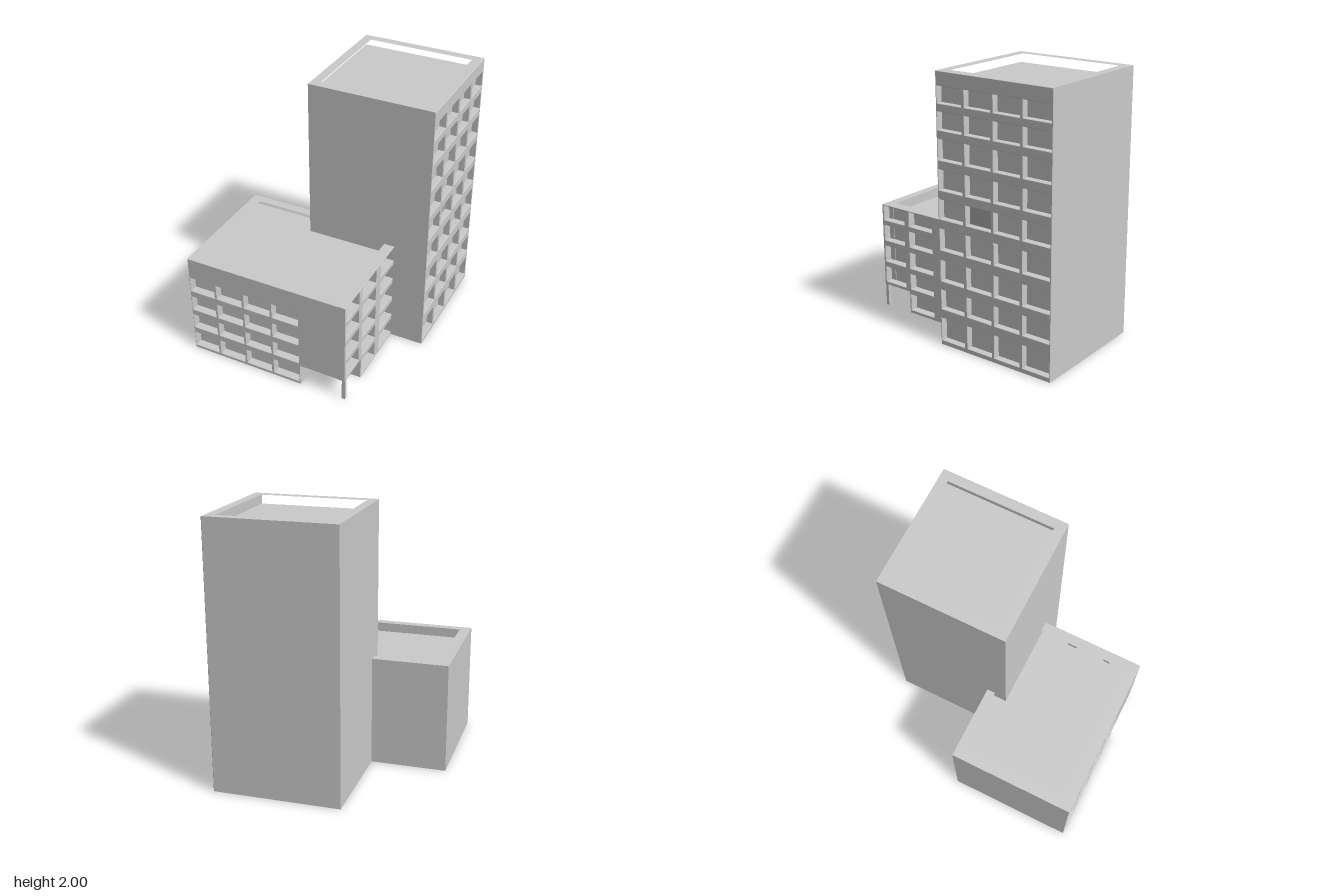
import * as THREE from 'three';

const material = new THREE.MeshStandardMaterial({ color: 0xcccccc });
const darkMaterial = new THREE.MeshStandardMaterial({ color: 0xb0b0b0 });
const BEVEL = 0.003;

const points = (list) => list.map(([x, y]) => new THREE.Vector2(x, y));
const rect = (x0, y0, x1, y1) => [[x0, y0], [x1, y0], [x1, y1], [x0, y1]];

function add(parent, name, geometry, mat = material) {
  const mesh = new THREE.Mesh(geometry, mat);
  mesh.name = name;
  parent.add(mesh);
  return mesh;
}

function shapeOf(outline, holes = []) {
  const shape = new THREE.Shape(points(outline));
  holes.forEach((h) => shape.holes.push(new THREE.Path(points(h))));
  return shape;
}

// Upright prism from a plan given in (x, z)
function prism(plan, y0, y1, holes = []) {
  const flip = (list) => list.map(([x, z]) => [x, -z]);
  const geometry = new THREE.ExtrudeGeometry(shapeOf(flip(plan), holes.map(flip)), {
    depth: y1 - y0, bevelEnabled: false,
  });
  return geometry.rotateX(-Math.PI / 2).translate(0, y0, 0);
}

// Wall panel facing +z with softened window openings; its back lies on z = 0
function panel(outline, windows, depth) {
  return new THREE.ExtrudeGeometry(shapeOf(outline, windows), {
    depth: depth - BEVEL, bevelThickness: BEVEL, bevelSize: BEVEL,
    bevelOffset: -BEVEL, bevelSegments: 1,
  });
}

// Window openings at every crossing of columns and rows
function windowGrid(columns, rows) {
  return rows.flatMap(([y0, y1]) => columns.map(([x0, x1]) => rect(x0, y0, x1, y1)));
}

function createTower() {
  const tower = new THREE.Group();
  tower.name = 'tower';
  const depth = 0.05, face = 0.765 - depth;
  const plan = rect(-0.19, -0.88, face, 0.075);

  // Body and roof parapet
  add(tower, 'towerBody', prism(plan, 0, 1.92));
  add(tower, 'towerParapet', prism(plan, 1.92, 2, [rect(-0.12, -0.81, 0.69, 0)]));

  // Window wall on the left side (u = -z)
  const columns = [[-0.065, 0.145], [0.17, 0.385], [0.41, 0.625], [0.65, 0.87]];
  const rows = [
    [0.035, 0.21], [0.28, 0.43], [0.495, 0.655], [0.73, 0.89], [0.96, 1.105],
    [1.17, 1.32], [1.385, 1.535], [1.595, 1.725], [1.78, 1.9],
  ];
  const wall = panel(rect(-0.075, 0, 0.88, 2), windowGrid(columns, rows), depth);
  add(tower, 'towerWindowWall', wall.rotateY(Math.PI / 2).translate(face, 0, 0));

  // Single darker pane
  const pane = new THREE.BoxGeometry(0.004, 0.145, 0.215).translate(face, 1.0325, -0.2775);
  add(tower, 'darkPane', pane, darkMaterial);
  return tower;
}

function createAnnex() {
  const annex = new THREE.Group();
  annex.name = 'annex';
  const depth = 0.06, sideFace = 0.505 - depth, frontFace = 0.88 - depth;
  const top = 0.835, roof = 0.76, porch = 0.175, porchX = 0.145, porchZ = 0.62;

  // Ground floor with the corner porch cut away, then the upper floors
  const backEdge = [[sideFace, 0.06], [-0.18, 0.06], [-0.18, -0.08], [-0.765, -0.08]];
  add(annex, 'groundFloor', prism([
    ...backEdge, [-0.765, frontFace], [porchX, frontFace], [porchX, porchZ], [sideFace, porchZ],
  ], 0, porch));
  add(annex, 'upperFloors', prism([
    ...backEdge, [-0.765, frontFace], [sideFace, frontFace],
  ], porch, roof));
  add(annex, 'annexParapet', prism(
    rect(-0.765, -0.08, sideFace, frontFace), roof, top, [rect(-0.68, -0.015, 0.425, 0.81)],
  ));

  // Front window wall
  const frontColumns = [[-0.757, -0.555], [-0.535, -0.325], [-0.305, -0.095], [-0.075, 0.135]];
  const frontRows = [[0.025, 0.15], [0.2, 0.32], [0.37, 0.49], [0.545, 0.665]];
  const end = sideFace + BEVEL;
  const frontOutline = [
    [-0.765, 0], [porchX, 0], [porchX, porch], [end, porch], [end, top], [-0.765, top],
  ];
  add(annex, 'frontWindowWall',
    panel(frontOutline, windowGrid(frontColumns, frontRows), depth).translate(0, 0, frontFace));

  // Left window wall (u = -z), with the porch opening at its front corner
  const sideColumns = [[-0.862, -0.655], [-0.605, -0.375], [-0.3, -0.06]];
  const sideRows = [[0.2, 0.325], [0.37, 0.5], [0.545, 0.67], [0.71, 0.825]];
  const sideWindows = [
    ...windowGrid(sideColumns.slice(1), [[0.025, 0.155]]),
    ...windowGrid(sideColumns, sideRows),
  ];
  const sideOutline = [
    [-0.88, porch], [-porchZ, porch], [-porchZ, 0], [-0.04, 0], [-0.04, top], [-0.88, top],
  ];
  add(annex, 'sideWindowWall',
    panel(sideOutline, sideWindows, depth).rotateY(Math.PI / 2).translate(sideFace, 0, 0));

  // Post carrying the porch corner
  add(annex, 'porchPost',
    new THREE.BoxGeometry(0.025, porch + 0.005, 0.025).translate(0.49, (porch + 0.005) / 2, 0.8625));
  return annex;
}

export function createModel() {
  const model = new THREE.Group();
  model.name = 'officeBuilding';
  model.add(createTower(), createAnnex());
  return model;
}
